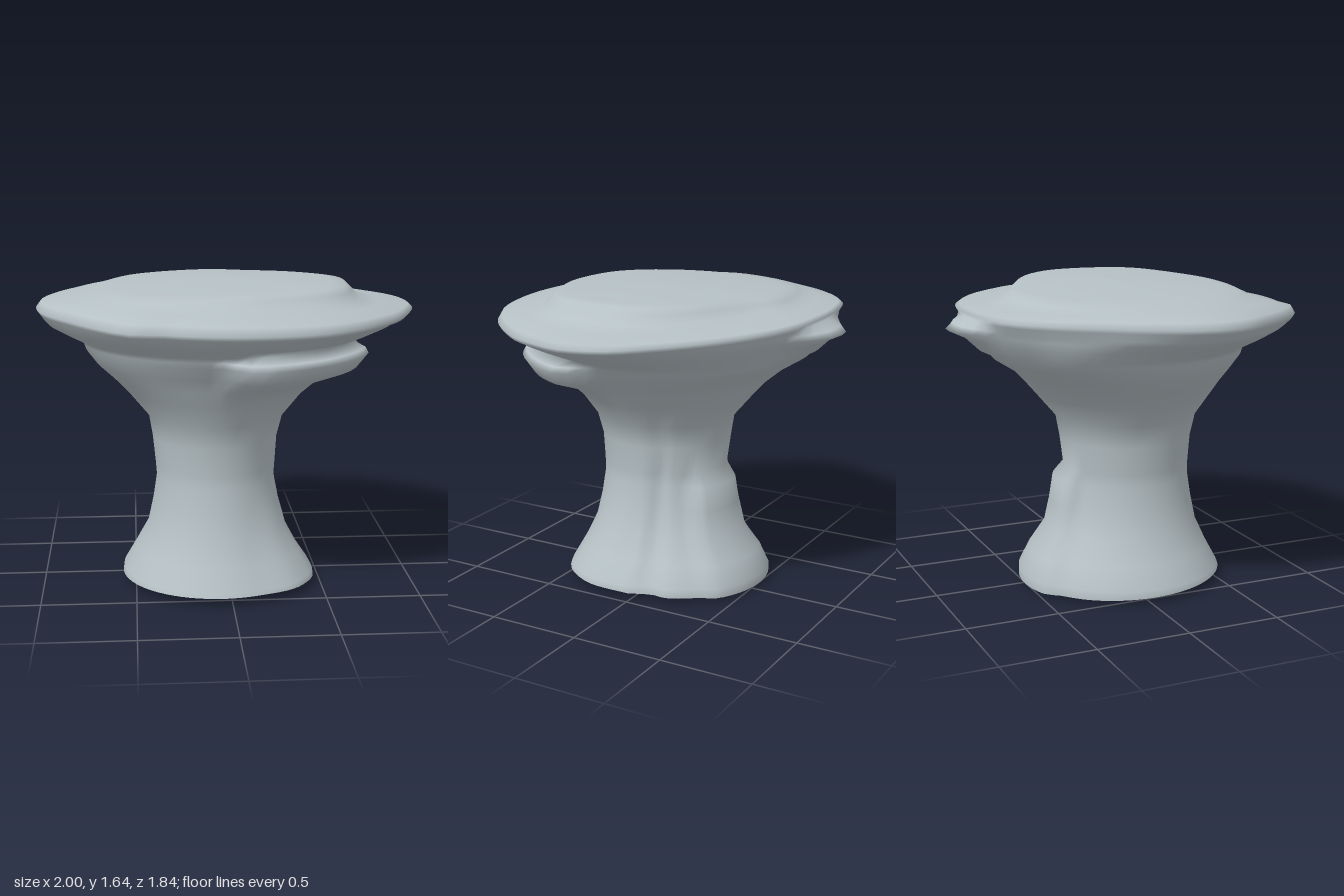
import * as THREE from 'three';

const N = 72;
const stone = new THREE.MeshStandardMaterial({ color: 0xb6c1c5 });
stone.name = 'paleStone';

// closed outline through [x, z] points, starting at +x and turning toward +z
function outline(points) {
  const curve = new THREE.CatmullRomCurve3(points.map(([x, z]) => new THREE.Vector3(x, 0, z)), true, 'centripetal');
  return Array.from({ length: N }, (_, i) => curve.getPointAt(i / N));
}

// ellipse from its extents
function ellipse(x0, x1, z0, z1) {
  return Array.from({ length: N }, (_, i) => {
    const a = (i / N) * Math.PI * 2;
    return new THREE.Vector3((x0 + x1) / 2 + Math.cos(a) * (x1 - x0) / 2, 0, (z0 + z1) / 2 + Math.sin(a) * (z1 - z0) / 2);
  });
}

const mix = (a, b, t) => a.map((p, i) => p.clone().lerp(b[i], t));
const scaled = (a, s, cx, cz) => a.map((p) => new THREE.Vector3(cx + (p.x - cx) * s, 0, cz + (p.z - cz) * s));
const raise = (ring, y, tx = 0, tz = 0) => ring.map((p) => new THREE.Vector3(p.x, y + tx * p.x + tz * p.z, p.z));

// push a ring outward around one direction (degrees), fading at the ends
function bulge(ring, centre, half, amount, fade = 0.35) {
  return ring.map((p) => {
    const deg = THREE.MathUtils.radToDeg(Math.atan2(p.z, p.x));
    const d = Math.abs(((deg - centre + 540) % 360) - 180) / half;
    const k = 1 - THREE.MathUtils.smoothstep(d, 1 - fade, 1);
    const r = Math.hypot(p.x, p.z) || 1;
    return new THREE.Vector3(p.x * (1 + amount * k / r), p.y, p.z * (1 + amount * k / r));
  });
}

// skin a stack of rings
function loft(rings) {
  const pos = [], idx = [];
  rings.forEach((ring) => ring.forEach((p) => pos.push(p.x, p.y, p.z)));
  for (let r = 0; r < rings.length - 1; r++) {
    for (let i = 0; i < N; i++) {
      const a = r * N + i, b = r * N + (i + 1) % N;
      idx.push(a, a + N, b, b, a + N, b + N);
    }
  }
  const g = new THREE.BufferGeometry();
  g.setAttribute('position', new THREE.Float32BufferAttribute(pos, 3));
  g.setIndex(idx);
  g.computeVertexNormals();
  return g;
}

function add(group, name, rings) {
  const mesh = new THREE.Mesh(loft(rings), stone);
  mesh.name = name;
  group.add(mesh);
}

export function createModel() {
  const group = new THREE.Group();
  group.name = 'stonePedestal';

  const rim = outline([
    [1, 0.06], [0.96, 0.2], [0.87, 0.4], [0.77, 0.53], [0.63, 0.68], [0.43, 0.82], [0.21, 0.89], [-0.04, 0.915],
    [-0.27, 0.885], [-0.37, 0.855], [-0.51, 0.85], [-0.69, 0.69], [-0.83, 0.51], [-0.96, 0.31], [-1, 0.1],
    [-0.94, -0.14], [-0.83, -0.36], [-0.7, -0.58], [-0.52, -0.76], [-0.3, -0.82], [-0.1, -0.83], [0.17, -0.8],
    [0.4, -0.71], [0.6, -0.58], [0.8, -0.39], [0.96, -0.18]]);
  const plateau = outline([
    [0.66, 0.06], [0.62, 0.3], [0.54, 0.42], [0.3, 0.55], [0, 0.64], [-0.38, 0.61], [-0.55, 0.48], [-0.66, 0.28],
    [-0.7, 0.05], [-0.66, -0.25], [-0.5, -0.5], [-0.25, -0.6], [-0.03, -0.6], [0.1, -0.53], [0.4, -0.38],
    [0.55, -0.25], [0.64, -0.1]]);

  // stem: [y, xMin, xMax, zMin, zMax, back buttress, front swell]
  const stem = [
    [0.03, -0.57, 0.46, -0.48, 0.6, 0.04, 0.035],
    [0.07, -0.565, 0.455, -0.48, 0.59, 0.04, 0.035],
    [0.18, -0.5, 0.38, -0.42, 0.53, 0.05, 0.03],
    [0.31, -0.43, 0.31, -0.33, 0.47, 0.05, 0.02],
    [0.45, -0.4, 0.275, -0.29, 0.44, 0.06, 0.01],
    [0.58, -0.38, 0.255, -0.27, 0.42, 0.06, 0],
    [0.65, -0.385, 0.26, -0.27, 0.42, 0, 0],
    [0.8, -0.4, 0.27, -0.29, 0.43, 0, 0],
    [0.92, -0.42, 0.3, -0.31, 0.46, 0, 0],
  ].map(([y, x0, x1, z0, z1, back, swell], i) => {
    let ring = raise(ellipse(x0, x1, z0, z1), y, 0, i ? 0 : 0.03);
    ring = bulge(ring, 272, 42, back);
    ring = bulge(ring, 42, 36, swell, 0.8);
    return bulge(ring, -12, 14, i < 7 ? -0.03 : -0.012, 0.75);
  });

  // flaring underside with the front ledge, the fuller back left and the knob under the back rim
  const cone = ellipse(-0.78, 0.68, -0.7, 0.71);
  const ledge = (ring, amount) => bulge(ring, 52, 45, amount);
  const fuller = (ring, amount) => bulge(ring, 232, 48, amount, 0.8);
  const knob = (ring, amount) => bulge(ring, 263, 23, amount, 0.9);
  const under = [
    raise(ellipse(-0.53, 0.41, -0.42, 0.54), 1.05),
    ledge(raise(ellipse(-0.61, 0.47, -0.49, 0.58), 1.13), 0.04),
    fuller(ledge(raise(ellipse(-0.69, 0.55, -0.55, 0.62), 1.2), 0.165), 0.03),
    fuller(ledge(raise(ellipse(-0.75, 0.63, -0.66, 0.68), 1.275), 0.15), 0.05),
    fuller(ledge(raise(ellipse(-0.76, 0.645, -0.68, 0.69), 1.305), 0.12), 0.06),
    knob(fuller(raise(cone, 1.33), 0.06), 0.04),
    knob(fuller(raise(mix(cone, rim, 0.42), 1.385, 0, -0.02), 0.04), 0.07),
    knob(raise(mix(cone, rim, 0.72), 1.425, 0, -0.02), 0.135),
    knob(raise(mix(cone, rim, 0.82), 1.45, 0, -0.025), 0.085),
  ];

  // rim, sloping flange, raised top
  const top = [
    raise(scaled(rim, 0.985, 0, 0.03), 1.475, -0.015, -0.03),
    raise(rim, 1.497, -0.015, -0.03),
    raise(scaled(rim, 0.975, 0, 0.03), 1.525, -0.02, -0.015),
    raise(mix(plateau, rim, 0.45), 1.545, -0.025, -0.005),
    raise(mix(plateau, rim, 0.13), 1.566, -0.025, 0),
    raise(plateau, 1.592, 0.005, 0),
    raise(scaled(plateau, 0.95, 0, 0), 1.613, 0.022, 0),
    raise(scaled(plateau, 0.85, 0, 0), 1.622, 0.022, 0),
    raise(scaled(plateau, 0.5, 0, 0), 1.635, 0.02, 0),
    raise(scaled(plateau, 0, 0, 0), 1.645),
  ];
  add(group, 'pedestalBody', [...stem, ...under, ...top]);

  // shallow underside of the foot
  const foot = stem[0];
  const inner = foot.map((p) => new THREE.Vector3(-0.05 + (p.x + 0.05) * 0.6, 0.004 + p.y * 0.3, 0.06 + (p.z - 0.06) * 0.6));
  const centre = foot.map(() => new THREE.Vector3(-0.05, 0, 0.06));
  add(group, 'footUnderside', [centre, inner, foot]);

  return group;
}
